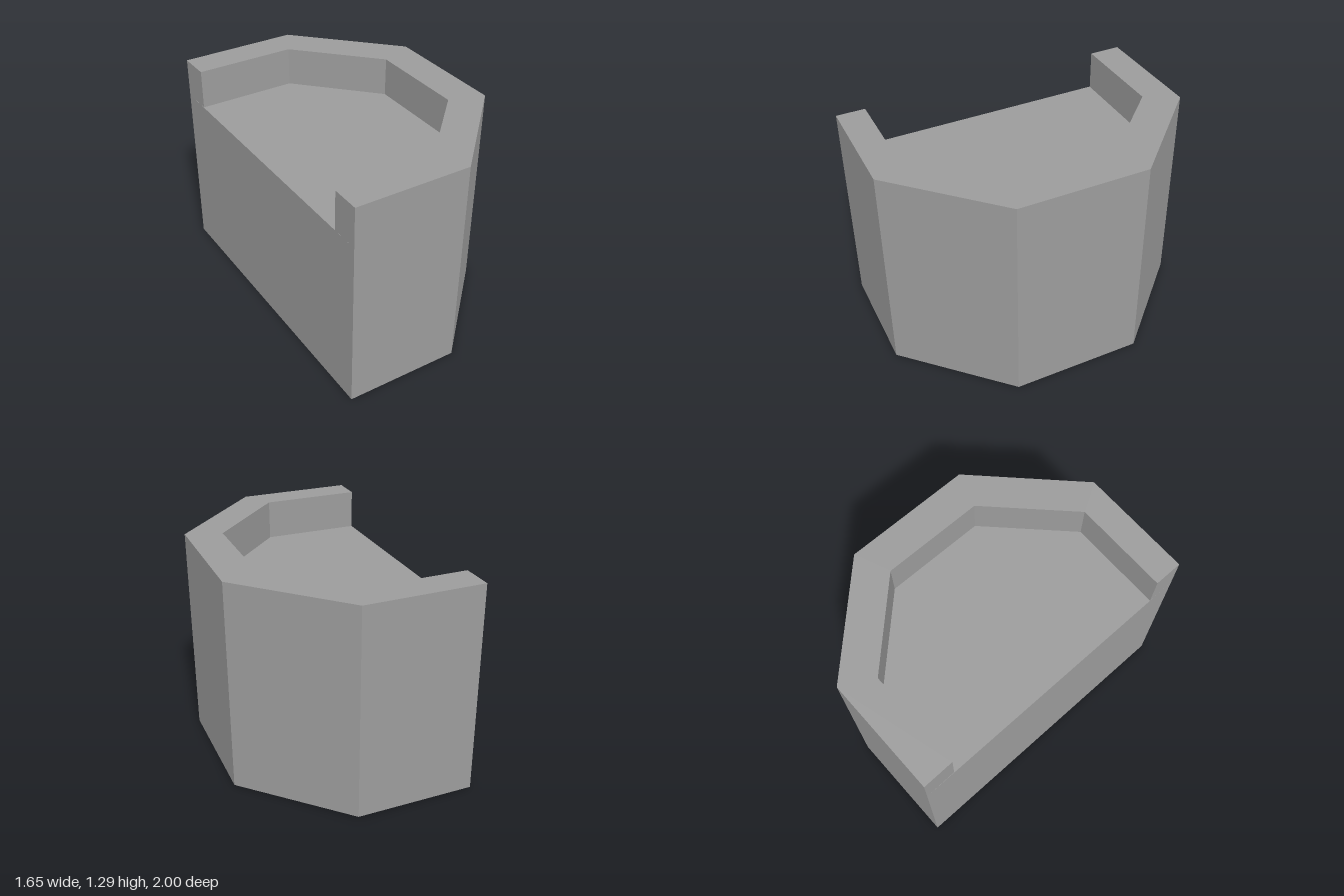
import * as THREE from 'three';

const HEIGHT = 1.29;
const FLOOR = 1.05;

// Plan outlines as [x, z], running round from one end of the open side to the other
const outer = [[-0.13, -1], [0.53, -0.73], [0.825, -0.01], [0.53, 0.705], [-0.19, 1], [-0.825, 0.73]];
const inner = [[-0.2, -0.82], [0.36, -0.59], [0.595, -0.01], [0.36, 0.56], [-0.22, 0.8], [-0.76, 0.57]];

// Upright prism over a plan outline, from y = bottom to y = top
function prism(name, outline, bottom, top, material) {
  const shape = new THREE.Shape(outline.map(([x, z]) => new THREE.Vector2(x, -z)));
  const geometry = new THREE.ExtrudeGeometry(shape, { depth: top - bottom, bevelEnabled: false });
  geometry.rotateX(-Math.PI / 2);
  geometry.translate(0, bottom, 0);
  const mesh = new THREE.Mesh(geometry, material);
  mesh.name = name;
  return mesh;
}

export function createModel() {
  const stone = new THREE.MeshStandardMaterial({ color: 0x9c9c9c });
  stone.name = 'grey stone';

  const model = new THREE.Group();
  model.name = 'halfOctagonBastion';

  // Solid body up to the walkway floor
  model.add(prism('body', outer, 0, FLOOR, stone));

  // Parapet round every side except the open one
  model.add(prism('parapet', [...outer, ...[...inner].reverse()], FLOOR, HEIGHT, stone));

  return model;
}
